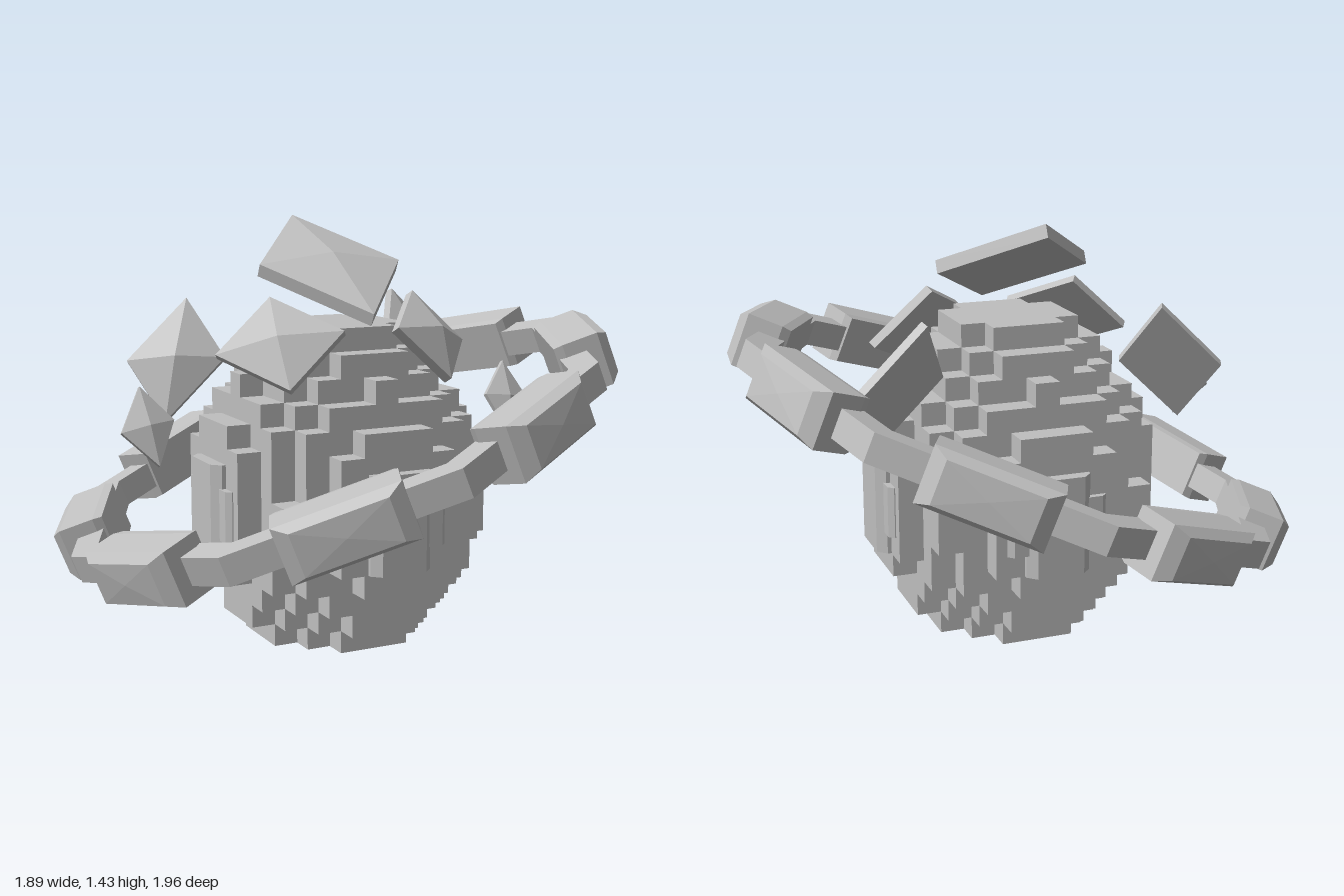
import * as THREE from 'three';
import { mergeGeometries } from 'three/addons/utils/BufferGeometryUtils.js';

const grey = new THREE.MeshStandardMaterial({ color: 0xbfbfbf, flatShading: true });
grey.name = 'stone grey';

const flat = (g) => {
  const f = g.index ? g.toNonIndexed() : g;
  f.computeVertexNormals();
  return f;
};

function part(name, geometry, parent) {
  const mesh = new THREE.Mesh(geometry, grey);
  mesh.name = name;
  parent.add(mesh);
  return mesh;
}

// Stepped egg: every layer is a disc of square cells, one box per row
function eggGeometry() {
  const u = 0.083, h = 1.08 / 14;
  const radii = [3.3, 4.2, 4.7, 5.1, 5.4, 5.7, 5.7, 5.6, 5.4, 5.1, 4.6, 4.1, 3.3, 2.4];
  const boxes = [];
  radii.forEach((r, layer) => {
    const n = Math.floor(r);
    for (let k = -n; k <= n; k++) {
      const half = Math.floor(Math.sqrt(r * r - k * k));
      boxes.push(new THREE.BoxGeometry((2 * half + 1) * u, h, u)
        .translate(0, (layer + 0.5) * h, k * u));
    }
  });
  return mergeGeometries(boxes);
}

// Chamfered upright panel standing out of the egg towards +z
function panelGeometry(half, front, chamfer, y0, y1) {
  const s = new THREE.Shape([
    [-half, -0.4], [half, -0.4], [half, -front + chamfer], [half - chamfer, -front],
    [chamfer - half, -front], [-half, -front + chamfer],
  ].map(([x, y]) => new THREE.Vector2(x, y)));
  return new THREE.ExtrudeGeometry(s, { depth: y1 - y0, bevelEnabled: false })
    .rotateX(-Math.PI / 2).translate(0, y0, 0);
}

// Thin four-cornered plate with a low pyramid on its outer face
// corners run anticlockwise as seen from outside
function gemGeometry(corners, thickness, peak) {
  const c = corners.map((p) => new THREE.Vector3(...p));
  const normal = c[2].clone().sub(c[0]).cross(c[3].clone().sub(c[1])).normalize();
  const mid = c[0].clone().add(c[1]).add(c[2]).add(c[3]).multiplyScalar(0.25);
  const back = c.map((p) => p.clone().addScaledVector(normal, -thickness));
  const pts = [...c, ...back, mid.addScaledVector(normal, peak)];
  const index = [4, 6, 5, 4, 7, 6];
  for (let i = 0; i < 4; i++) {
    const j = (i + 1) % 4;
    index.push(i, j, 8, i, i + 4, j + 4, i, j + 4, j);
  }
  const g = new THREE.BufferGeometry().setFromPoints(pts);
  g.setIndex(index);
  return flat(g);
}

// Ring block: x points outwards, y is its height, z its length
function blockGeometry() {
  const q = Math.SQRT2;
  const profile = [[0, -0.09], [0.93, -0.09], [1, -0.06], [1, 0.06], [0.76, 0.095], [0, 0.1]]
    .map(([r, y]) => new THREE.Vector2(r * q, y));
  return flat(new THREE.LatheGeometry(profile, 4, Math.PI / 4)
    .scale(0.093, 1, 0.2).rotateZ(-Math.PI / 2));
}

export function createModel() {
  const model = new THREE.Group();
  model.name = 'crownedEggWithRing';

  // Body
  const body = new THREE.Group();
  body.name = 'body';
  body.position.x = 0.012;
  model.add(body);
  part('steppedEgg', eggGeometry(), body);
  for (let i = 0; i < 4; i++) {
    const side = new THREE.Group();
    side.name = 'sidePanel';
    side.rotation.y = i * Math.PI / 2;
    body.add(side);
    part('tallPanel', panelGeometry(0.11, 0.5, 0.03, 0.31, 0.64), side);
    part('shortPanel', panelGeometry(0.17, 0.478, 0.018, 0.385, 0.56), side);
  }

  // Floating crown: top, inner, lower, outer corner of each plate
  const crown = new THREE.Group();
  crown.name = 'crown';
  crown.position.x = 0.01;
  model.add(crown);
  part('topGem', gemGeometry(
    [[0, 1.43, -0.34], [-0.265, 1.28, -0.03], [0, 1.13, 0.285], [0.265, 1.28, -0.03]],
    0.045, 0.04), crown);
  const gems = [
    ['frontGem', [[0.27, 1.18, 0.06], [0.1, 1.08, 0.27], [0.3, 0.9, 0.28], [0.47, 1.0, 0.07]], 0.03, 0.05],
    ['backGem', [[0.41, 1.15, -0.34], [0.32, 0.95, -0.21], [0.54, 0.74, -0.22], [0.63, 0.94, -0.35]], 0.03, 0.05],
    ['smallGem', [[0.7, 0.9, -0.02], [0.6, 0.79, 0.03], [0.67, 0.65, 0.08], [0.78, 0.76, 0.03]], 0.018, 0.025],
  ];
  for (const [name, corners, thickness, peak] of gems) {
    part(name + 'Left', gemGeometry(corners, thickness, peak), crown);
    const mirrored = corners.map(([x, y, z]) => [-x, y, z]).reverse();
    part(name + 'Right', gemGeometry(mirrored, thickness, peak), crown);
  }

  // Tilted ring: eight-sided band carrying eight blocks
  const ring = new THREE.Group();
  ring.name = 'ring';
  ring.position.set(0, 0.66, 0);
  ring.quaternion.setFromUnitVectors(
    new THREE.Vector3(0, 1, 0), new THREE.Vector3(-0.38, 1, -0.075).normalize());
  model.add(ring);
  const deg = Math.PI / 180;
  const band = [[0.88, -0.048], [0.98, -0.048], [0.98, 0.048], [0.88, 0.048], [0.88, -0.048]]
    .map(([r, y]) => new THREE.Vector2(r, y));
  part('ringBand', flat(new THREE.LatheGeometry(band, 8, 42.5 * deg)), ring);
  const block = blockGeometry();
  for (let i = 0; i < 8; i++) {
    const pivot = new THREE.Group();
    pivot.name = 'ringSegment';
    pivot.rotation.y = -(25 + 45 * i) * deg;
    ring.add(pivot);
    part('ringBlock', block, pivot).position.x = 0.895;
  }
  return model;
}
